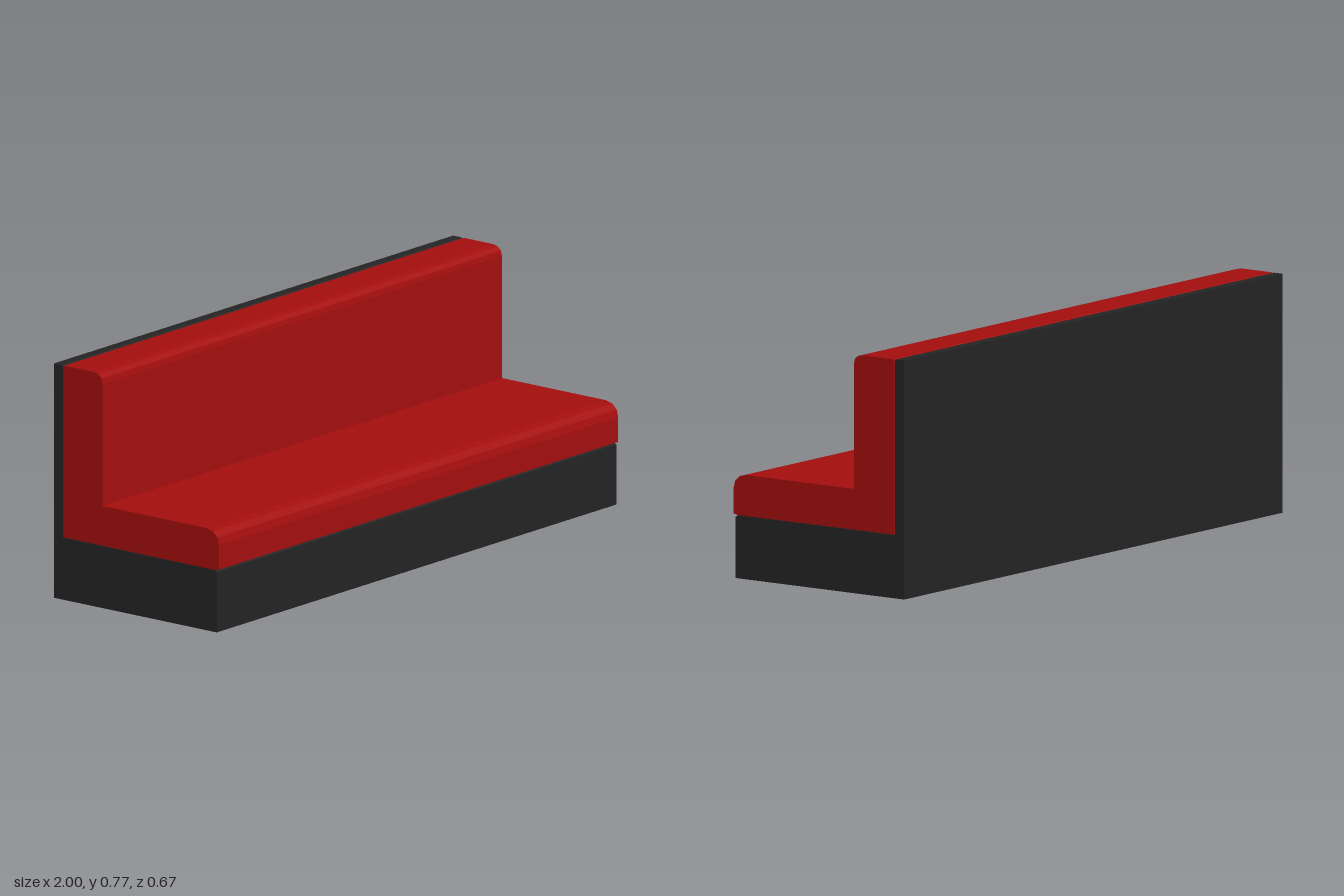
import * as THREE from 'three';

const WIDTH = 2;

// Extrudes a side profile of [z, y] points across the full width of the bench
function profilePart(name, points, material) {
  const shape = new THREE.Shape(points.map(([z, y]) => new THREE.Vector2(z, y)));
  const geometry = new THREE.ExtrudeGeometry(shape, { depth: WIDTH, bevelEnabled: false });
  geometry.rotateY(-Math.PI / 2);
  geometry.translate(WIDTH / 2, 0, 0);
  const mesh = new THREE.Mesh(geometry, material);
  mesh.name = name;
  return mesh;
}

export function createModel() {
  const red = new THREE.MeshStandardMaterial({ color: 0xa40e0e });
  red.name = 'red upholstery';
  const black = new THREE.MeshStandardMaterial({ color: 0x242424 });
  black.name = 'black frame';

  const bench = new THREE.Group();
  bench.name = 'bench';

  // Plinth and thin back panel, with small chamfers along the cushion seam
  bench.add(profilePart('frame', [
    [0.33, 0], [0.33, 0.197], [0.32, 0.203], [-0.299, 0.203],
    [-0.299, 0.763], [-0.303, 0.768], [-0.336, 0.768], [-0.336, 0],
  ], black));

  // Seat and backrest cushion with rounded front edges
  bench.add(profilePart('cushion', [
    [0.32, 0.203], [0.338, 0.207], [0.338, 0.288], [0.332, 0.312],
    [0.314, 0.329], [0.288, 0.335], [-0.137, 0.335], [-0.137, 0.735],
    [-0.141, 0.752], [-0.154, 0.764], [-0.173, 0.768], [-0.293, 0.768],
    [-0.297, 0.763], [-0.297, 0.205],
  ], red));

  return bench;
}
